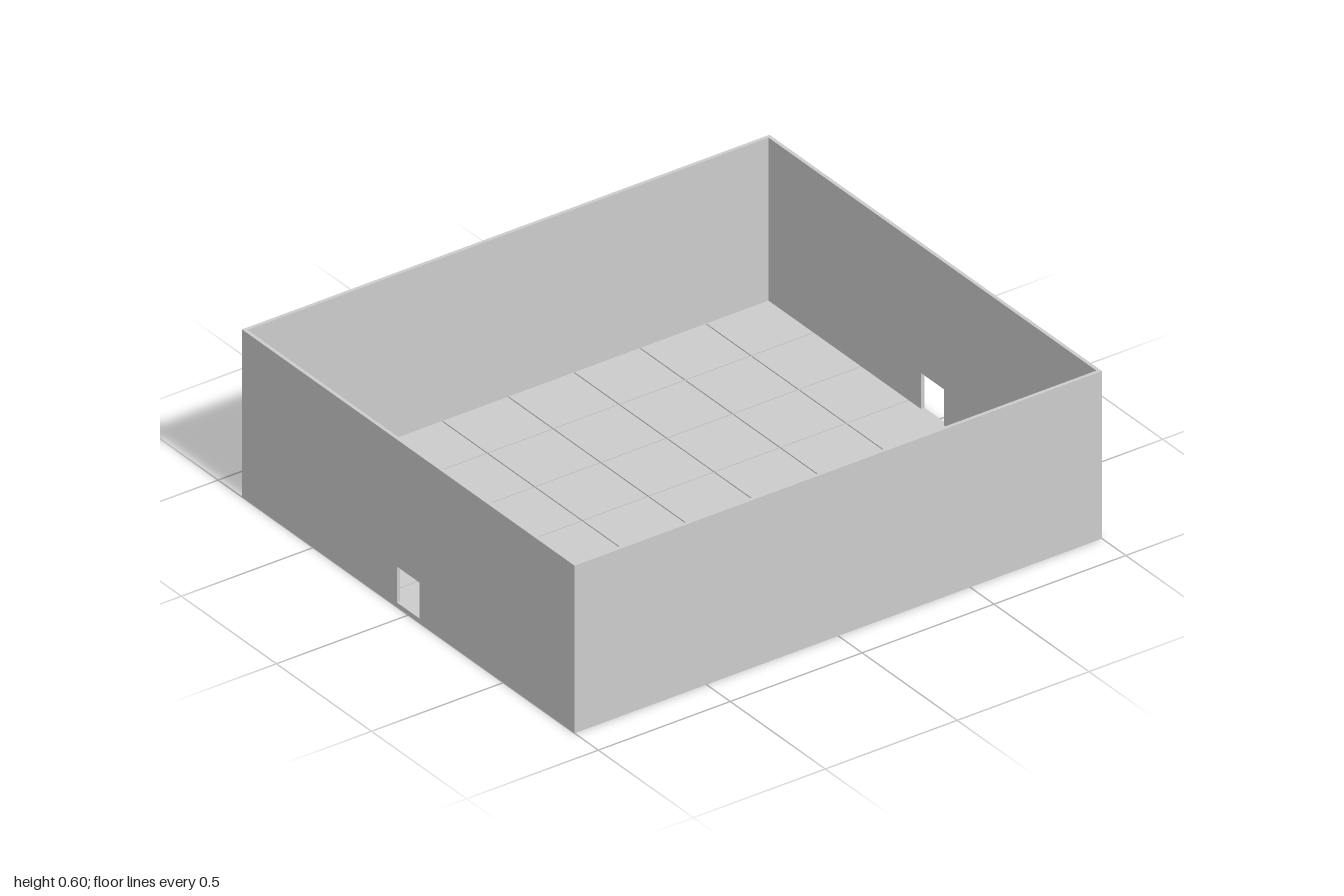
import * as THREE from 'three';

const W = 2, D = 1.75, H = 0.6;        // outer size
const T = 0.0125;                      // wall and slab thickness
const FLOOR = 0.0165;                  // top of the tiles
const CELL = 0.25, GAP = 0.004;        // tile grid

export function createModel() {
  const group = new THREE.Group();
  const grey = new THREE.MeshStandardMaterial({ color: 0xcccccc });
  grey.name = 'plainGrey';

  const add = (name, geometry, x, y, z, parent = group) => {
    const mesh = new THREE.Mesh(geometry, grey);
    mesh.name = name;
    mesh.position.set(x, y, z);
    parent.add(mesh);
    return mesh;
  };
  const box = (name, w, h, d, x, y, z, parent) =>
    add(name, new THREE.BoxGeometry(w, h, d), x, y, z, parent);

  // Base slab
  box('baseSlab', W, T, D, 0, T / 2, 0);

  // Long walls, front and back
  for (const s of [1, -1]) {
    box(s > 0 ? 'frontWall' : 'backWall', W, H - T, T, 0, (H + T) / 2, s * (D - T) / 2);
  }

  // End walls, each with a doorway in the middle
  const wall = new THREE.Shape();
  const hd = D / 2 - T;
  wall.moveTo(-hd, T).lineTo(hd, T).lineTo(hd, H).lineTo(-hd, H).closePath();
  const door = new THREE.Path();
  door.moveTo(-0.06, FLOOR).lineTo(-0.06, 0.145).lineTo(0.06, 0.145).lineTo(0.06, FLOOR).closePath();
  wall.holes.push(door);
  const endGeometry = new THREE.ExtrudeGeometry(wall, { depth: T, bevelEnabled: false });
  endGeometry.translate(0, 0, -T / 2).rotateY(Math.PI / 2);
  for (const s of [1, -1]) {
    add(s > 0 ? 'leftWall' : 'rightWall', endGeometry, s * (W - T) / 2, 0, 0);
  }

  // Floor tiles, the outer rows trimmed by the walls
  const tiles = new THREE.Group();
  tiles.name = 'floorTiles';
  group.add(tiles);
  const span = (i, size) => {
    const a = Math.max(-size / 2 + i * CELL + GAP / 2, -size / 2 + T);
    const b = Math.min(-size / 2 + (i + 1) * CELL - GAP / 2, size / 2 - T);
    return [b - a, (a + b) / 2];
  };
  for (let i = 0; i < W / CELL; i++) {
    for (let j = 0; j < D / CELL; j++) {
      const [w, x] = span(i, W);
      const [d, z] = span(j, D);
      box('floorTile', w, FLOOR - T, d, x, (FLOOR + T) / 2, z, tiles);
    }
  }
  return group;
}
